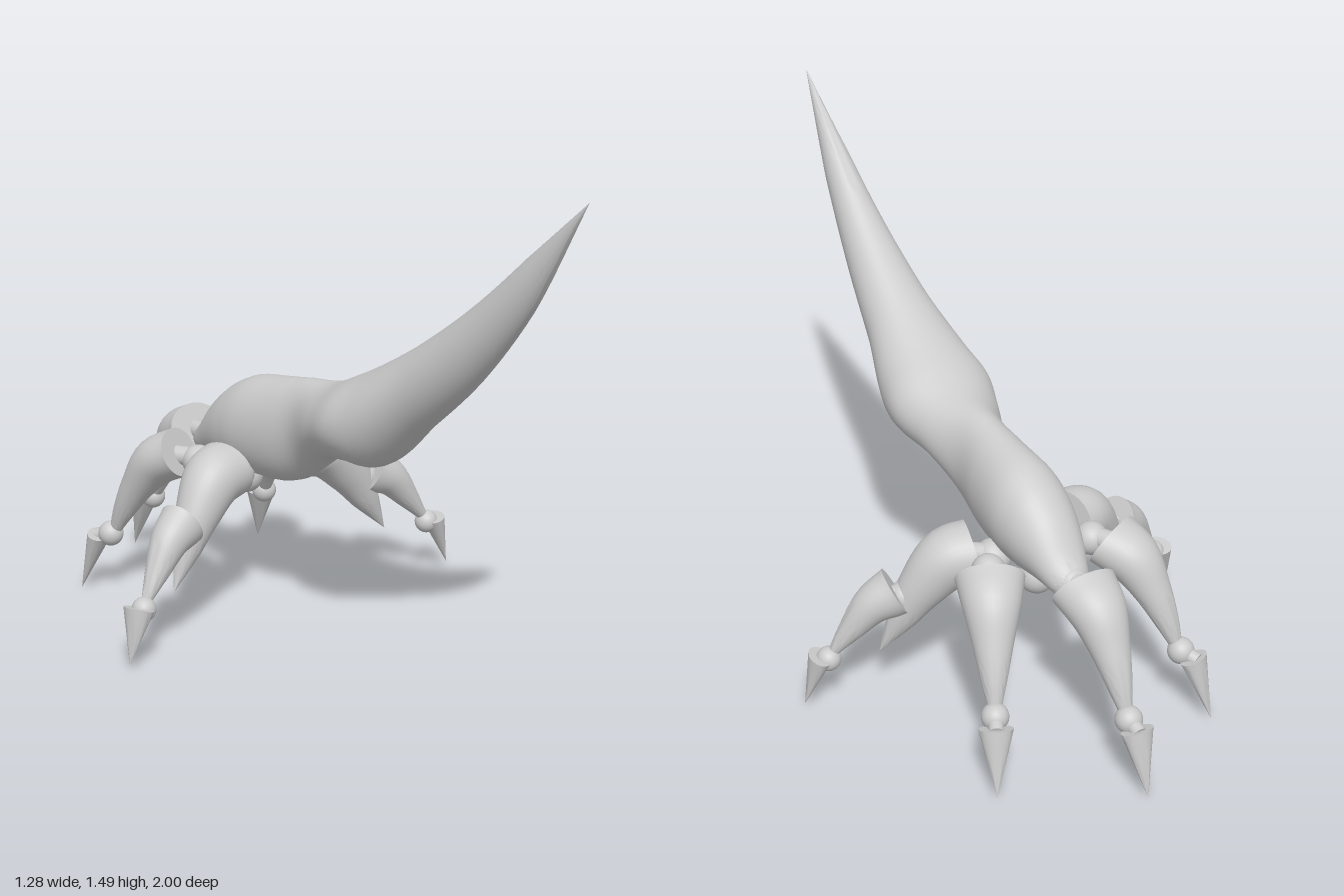
import * as THREE from 'three';
import { toCreasedNormals } from 'three/addons/utils/BufferGeometryUtils.js';

const material = new THREE.MeshStandardMaterial({ color: 0xcccccc });

function add(parent, name, geometry) {
  const mesh = new THREE.Mesh(geometry, material);
  mesh.name = name;
  parent.add(mesh);
  return mesh;
}

// Smooth loft along rows of [out, height, half width, half depth];
// sections are upright or square to the spine, and the ends are closed.
function loft(rows, upright = false, sides = 32, steps = 5) {
  const spine = new THREE.CatmullRomCurve3(rows.map(r => new THREE.Vector3(r[0], r[1], 0)));
  const sizes = new THREE.CatmullRomCurve3(rows.map(r => new THREE.Vector3(r[2], r[3], 0)));
  const count = (rows.length - 1) * steps;
  const pos = [], index = [];
  const ring = (t, scale) => {
    const c = spine.getPoint(t), s = sizes.getPoint(t), tan = spine.getTangent(t);
    const up = upright ? new THREE.Vector3(0, 1, 0) : new THREE.Vector3(-tan.y, tan.x, 0);
    for (let j = 0; j < sides; j++) {
      const a = (j / sides) * Math.PI * 2;
      const v = Math.cos(a) * Math.max(s.y, 0) * scale;
      pos.push(c.x + up.x * v, c.y + up.y * v, Math.sin(a) * Math.max(s.x, 0) * scale);
    }
  };
  ring(0, 0);
  for (let i = 0; i <= count; i++) ring(i / count, 1);
  ring(1, 0);
  for (let i = 0; i < count + 2; i++) {
    for (let j = 0; j < sides; j++) {
      const a = i * sides + j, b = i * sides + ((j + 1) % sides);
      index.push(a, b, a + sides, b, b + sides, a + sides);
    }
  }
  const g = new THREE.BufferGeometry();
  g.setAttribute('position', new THREE.Float32BufferAttribute(pos, 3));
  g.setIndex(index);
  return toCreasedNormals(g, 0.8);
}

function ball(parent, name, d, y, r) {
  add(parent, name, new THREE.SphereGeometry(r, 24, 16)).position.set(d, y, 0);
}

// Short round pin between two points in the leg's plane
function pin(parent, name, a, b, r) {
  const dx = b[0] - a[0], dy = b[1] - a[1];
  const m = add(parent, name, new THREE.CylinderGeometry(r, r, Math.hypot(dx, dy), 20));
  m.position.set((a[0] + b[0]) / 2, (a[1] + b[1]) / 2, 0);
  m.rotation.z = Math.atan2(dy, dx) - Math.PI / 2;
}

// Claw: straight flattened cone from base to tip
function claw(parent, base, tip) {
  add(parent, 'claw', loft([[...base, 0.05, 0.035], [...tip, 0, 0]], false, 24, 4));
}

// Group whose local x points outward along (dx, dz)
function limb(parent, name, x, z, dx, dz) {
  const g = new THREE.Group();
  g.name = name;
  g.position.set(x, 0, z);
  g.rotation.y = Math.atan2(-dz, dx);
  parent.add(g);
  return g;
}

// Leg with one horn-shaped segment and a claw
function shortLeg(parent, name, x, z, dx, dz) {
  const g = limb(parent, name, x, z, dx, dz);
  ball(g, 'hipJoint', 0.58, 0.49, 0.05);
  pin(g, 'hipPin', [0.56, 0.5], [0.67, 0.5], 0.03);
  add(g, 'upperSegment', loft([
    [0.645, 0.51, 0.1, 0.077], [0.72, 0.472, 0.085, 0.076],
    [0.785, 0.39, 0.06, 0.055], [0.84, 0.295, 0.037, 0.035], [0.885, 0.2, 0.012, 0.012],
  ]));
  ball(g, 'ankleJoint', 0.89, 0.21, 0.04);
  pin(g, 'anklePin', [0.88, 0.215], [0.945, 0.195], 0.022);
  claw(g, [0.932, 0.2], [1, 0.01]);
}

// Leg with two horn-shaped segments and a claw
function longLeg(parent, name, x, z, dx, dz) {
  const g = limb(parent, name, x, z, dx, dz);
  ball(g, 'hipJoint', 0, 0.46, 0.055);
  pin(g, 'hipPin', [0, 0.47], [0.09, 0.49], 0.03);
  add(g, 'upperSegment', loft([
    [0.06, 0.49, 0.1, 0.09], [0.13, 0.475, 0.092, 0.092],
    [0.21, 0.39, 0.068, 0.073], [0.27, 0.295, 0.042, 0.047], [0.34, 0.18, 0, 0],
  ]));
  ball(g, 'kneeJoint', 0.265, 0.365, 0.045);
  pin(g, 'kneePin', [0.25, 0.37], [0.32, 0.38], 0.025);
  add(g, 'lowerSegment', loft([
    [0.29, 0.385, 0.07, 0.077], [0.355, 0.35, 0.058, 0.06],
    [0.42, 0.275, 0.037, 0.038], [0.49, 0.185, 0.01, 0.01],
  ]));
  ball(g, 'ankleJoint', 0.49, 0.18, 0.037);
  pin(g, 'anklePin', [0.48, 0.185], [0.53, 0.17], 0.02);
  claw(g, [0.515, 0.19], [0.565, 0.03]);
}

export function createModel() {
  const model = new THREE.Group();
  model.name = 'clawedCreature';

  // Body: rounded rear, narrow waist, swelling, then a long rising spike
  const trunk = limb(model, 'trunk', 0, 0, 0, 1);
  add(trunk, 'body', loft([
    [-0.62, 0.485, 0.035, 0.035], [-0.58, 0.495, 0.06, 0.055], [-0.5, 0.545, 0.09, 0.1],
    [-0.42, 0.575, 0.112, 0.135], [-0.33, 0.595, 0.12, 0.157], [-0.2, 0.61, 0.105, 0.165],
    [-0.1, 0.635, 0.092, 0.158], [0.04, 0.695, 0.135, 0.118], [0.15, 0.73, 0.168, 0.132],
    [0.24, 0.755, 0.158, 0.153], [0.4, 0.872, 0.115, 0.132], [0.6, 1.035, 0.08, 0.115],
    [0.8, 1.243, 0.045, 0.083], [1, 1.5, 0, 0],
  ], true, 40, 6));
  ball(trunk, 'bellyJoint', -0.4, 0.41, 0.055);

  // Legs: one at the back, two mirrored pairs
  shortLeg(model, 'rearLeg', 0, 0, 0, -1);
  for (const [side, s] of [['left', 1], ['right', -1]]) {
    shortLeg(model, side + 'MiddleLeg', -0.09 * s, 0.1, 0.453 * s, -0.89);
    longLeg(model, side + 'FrontLeg', 0.1 * s, -0.32, 0.957 * s, 0.293);
  }
  return model;
}
